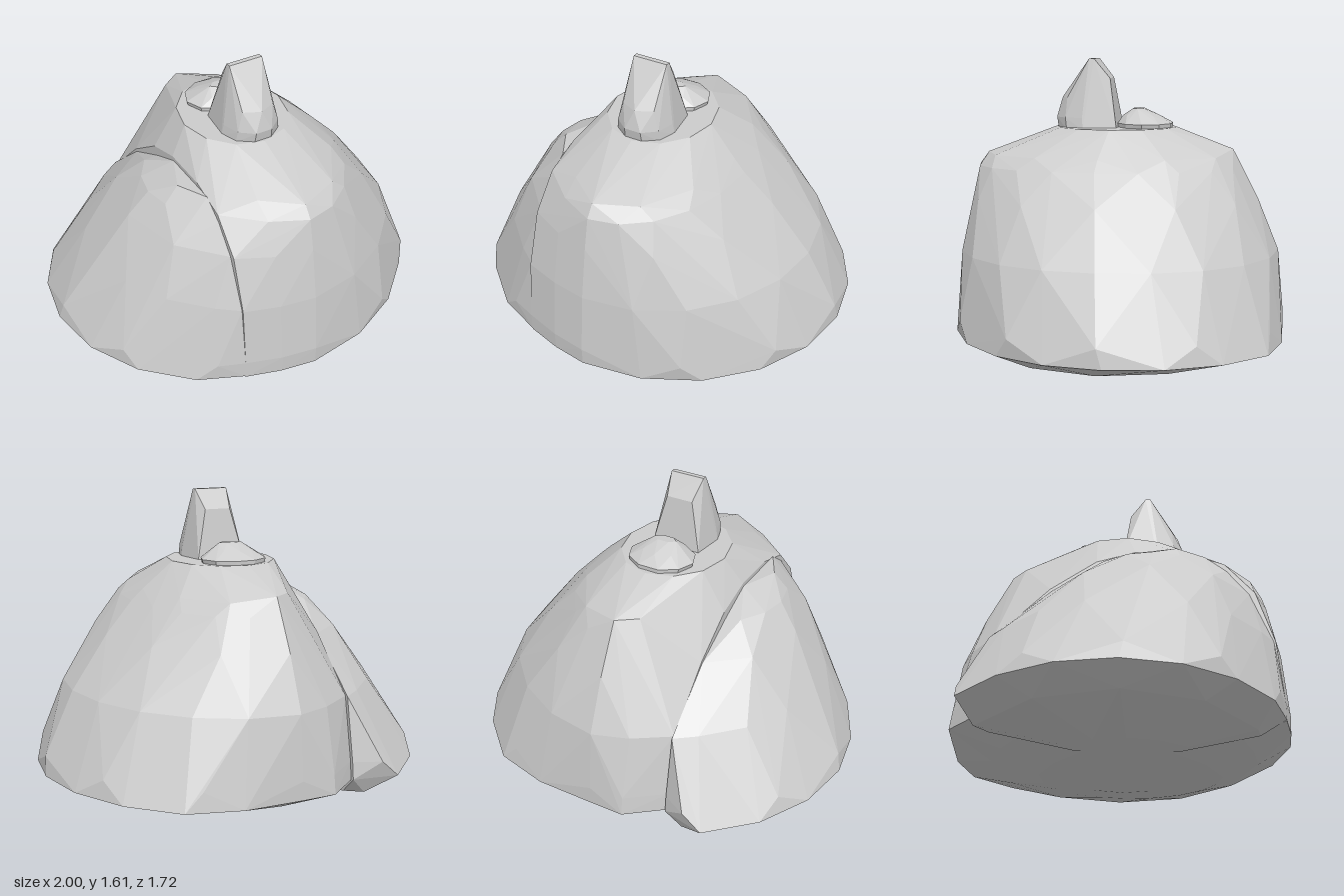
import * as THREE from 'three';
import { ConvexGeometry } from 'three/addons/geometries/ConvexGeometry.js';

const CUT = -0.36; // x of the split between the two dome parts
const BACK = -0.86; // rearmost z

const material = new THREE.MeshStandardMaterial({ color: 0xcccccc, flatShading: true });

// Elliptical outline at height y, reaching from zBack to zFront
function outline(y, halfWidth, zFront, zBack, sides) {
  const points = [];
  for (let i = 0; i < sides; i++) {
    const a = (i / sides) * Math.PI * 2;
    const x = halfWidth * Math.cos(a);
    const z = (zFront + zBack) / 2 + ((zFront - zBack) / 2) * Math.sin(a);
    points.push(new THREE.Vector3(x, y, z));
  }
  return points;
}

// Part of an outline on one side of the cut, with its two ends on the cut plane
function cutOutline([y, halfWidth, zFront, zBack, cutFront, cutBack], side, sides) {
  const points = outline(y, halfWidth, zFront, zBack, sides)
    .filter((p) => (side > 0 ? p.x > -0.01 : p.x < CUT - 0.04));
  for (const [edge, middle] of [[cutFront, zFront], [cutBack, zBack]]) {
    points.push(new THREE.Vector3(CUT, y, edge));
    if (side > 0) points.push(new THREE.Vector3(CUT / 2, y, edge * 0.35 + middle * 0.65));
  }
  // The rim rises gently towards the sides and is flattened at the back
  for (const p of points) {
    p.y += 0.03 * p.x * p.x;
    p.z = Math.max(p.z, BACK);
  }
  return points;
}

function solid(name, points) {
  const mesh = new THREE.Mesh(new ConvexGeometry(points), material);
  mesh.name = name;
  return mesh;
}

const cutRings = (rows, side) =>
  rows.flatMap((row, i) => cutOutline(row, side, i % 2 ? 12 : 20));

export function createModel() {
  const model = new THREE.Group();
  model.name = 'stemmedDome';

  // Large part: y, half width, front z, back z, front and back z on the cut
  const mainRows = [
    [0.05, 0.4, 0.5, -0.42, 0.2, -0.2],
    [0.12, 0.74, 0.68, -0.66, 0.55, -0.5],
    [0.215, 1, 0.85, -0.97, 0.77, -0.72],
    [0.31, 0.99, 0.855, -0.92, 0.77, -0.71],
    [0.63, 0.83, 0.825, -0.83, 0.74, -0.65],
    [0.9, 0.63, 0.78, -0.72, 0.65, -0.38],
    [1.06, 0.48, 0.745, -0.63, 0.5, -0.15],
    [1.12, 0.42, 0.7, -0.6, 0.3, 0.05],
  ];
  model.add(solid('mainBody', [
    ...outline(0, 0.12, 0.2, -0.2, 8),
    ...cutRings(mainRows, 1),
    ...outline(1.15, 0.2, 0.5, -0.59, 12),
    ...outline(1.26, 0.27, 0.33, -0.3, 12),
  ]));

  // Narrower bulging part on the other side of the cut
  const sideRows = [
    [0.05, 0.53, 0.48, -0.5, 0.25, -0.25],
    [0.135, 0.88, 0.72, -0.82, 0.64, -0.65],
    [0.22, 1, 0.85, -0.97, 0.77, -0.74],
    [0.31, 0.98, 0.84, -0.92, 0.77, -0.73],
    [0.63, 0.79, 0.8, -0.74, 0.73, -0.67],
    [0.89, 0.64, 0.73, -0.53, 0.62, -0.37],
    [1.02, 0.54, 0.55, -0.29, 0.51, -0.12],
    [1.1, 0.44, 0.5, 0, 0.4, 0.06],
  ];
  model.add(solid('sideBody', cutRings(sideRows, -1)));

  // Upright tapering stem, ending in a narrow ridge with a flat back
  model.add(solid('stem', [
    ...outline(1.25, 0.15, 0.32, 0.02, 10),
    ...outline(1.31, 0.14, 0.33, 0.02, 10),
    ...outline(1.41, 0.12, 0.3, 0.03, 8),
    ...[-1, 1].flatMap((s) => [
      new THREE.Vector3(0.13 * s, 1.26, 0),
      new THREE.Vector3(0.07 * s, 1.51, 0.04),
      new THREE.Vector3(0.09 * s, 1.61, 0.12),
      new THREE.Vector3(0.09 * s, 1.61, 0.145),
    ]),
  ]));

  // Low knob behind the stem
  model.add(solid('rearKnob', [
    ...outline(1.23, 0.16, 0.01, -0.28, 10),
    ...outline(1.28, 0.175, 0.01, -0.28, 10),
    ...outline(1.32, 0.11, -0.02, -0.21, 8),
    ...outline(1.355, 0.06, -0.07, -0.13, 6),
  ]));

  return model;
}
